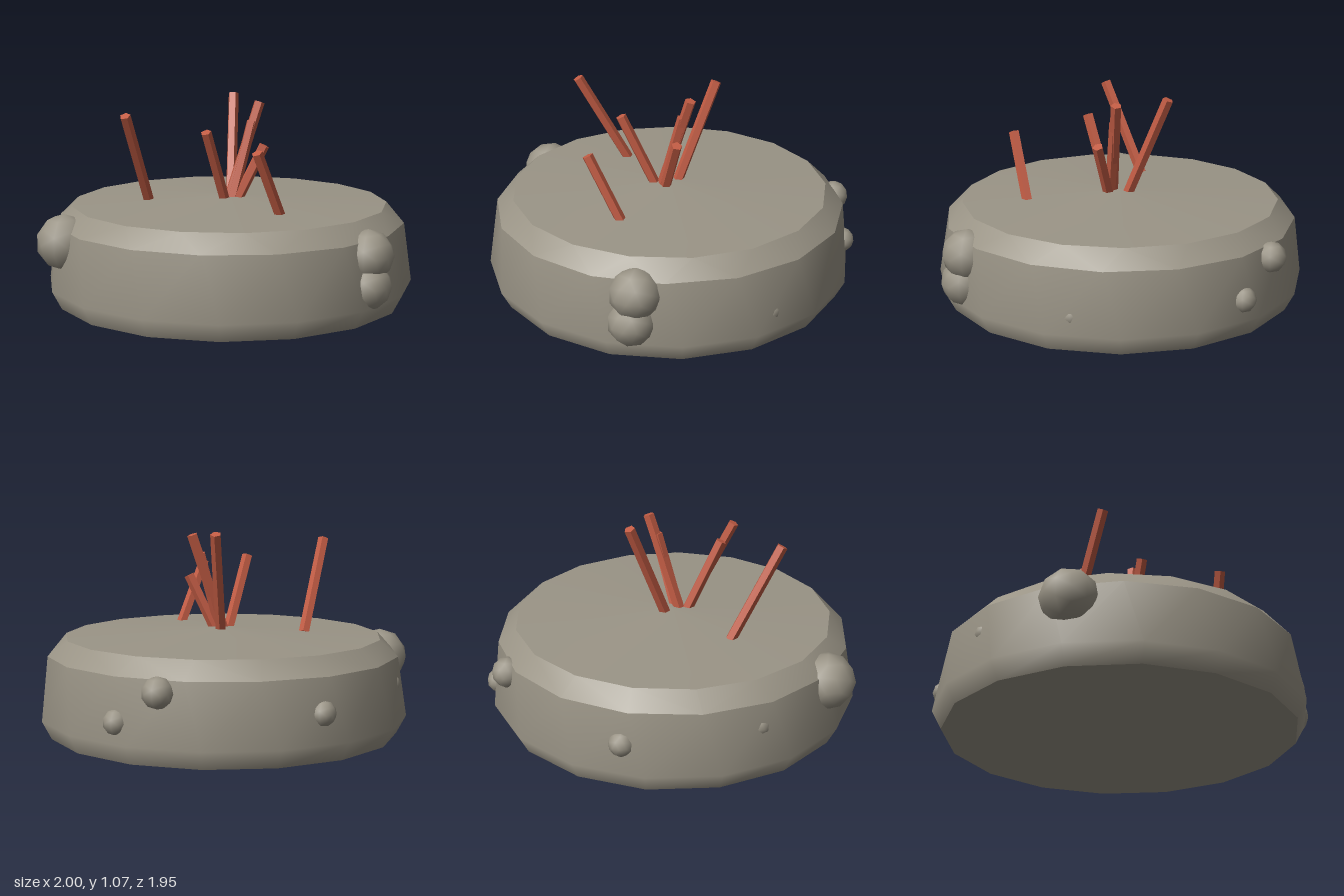
import * as THREE from 'three';

const CX = -0.025, CZ = -0.005;

// A ring of n points, turned by a fraction of a full turn from the back
const ring = (r, y, n = 16, twist = 0) => ({ r, y, n, twist });

// Skin a stack of rings, stitching neighbours even if their counts differ
function skin(rings) {
  const pos = [], index = [], start = [];
  for (const { r, y, n, twist } of rings) {
    start.push(pos.length / 3);
    for (let i = 0; i < n; i++) {
      const a = (twist + i / n) * Math.PI * 2;
      pos.push(CX + r * Math.sin(a), y, CZ - r * Math.cos(a));
    }
  }
  for (let k = 0; k + 1 < rings.length; k++) {
    const A = rings[k], B = rings[k + 1];
    const a = (i) => start[k] + (i % A.n), b = (j) => start[k + 1] + (j % B.n);
    let i = 0, j = 0;
    while (i < A.n || j < B.n) {
      const stepA = j >= B.n || (i < A.n && A.twist + (i + 1) / A.n <= B.twist + (j + 1) / B.n);
      if (stepA) { index.push(a(i), b(j), a(i + 1)); i++; }
      else { index.push(a(i), b(j), b(j + 1)); j++; }
    }
  }
  const geo = new THREE.BufferGeometry();
  geo.setAttribute('position', new THREE.Float32BufferAttribute(pos, 3));
  geo.setIndex(index);
  geo.computeVertexNormals();
  return geo;
}

// Faceted ball with smooth normals
function boulderGeometry() {
  const geo = new THREE.IcosahedronGeometry(1, 1);
  geo.setAttribute('normal', geo.attributes.position.clone());
  return geo;
}

export function createModel() {
  const group = new THREE.Group();
  const stone = new THREE.MeshStandardMaterial({ color: 0x9a9486 });
  stone.name = 'stone';
  const stickRed = new THREE.MeshStandardMaterial({ color: 0xc25c44, flatShading: true });
  stickRed.name = 'stickRed';

  const add = (name, geo, mat, parent = group) => {
    const mesh = new THREE.Mesh(geo, mat);
    mesh.name = name;
    parent.add(mesh);
    return mesh;
  };

  // Stone drum: each band is smooth, with sharp edges between bands
  const foot = ring(0.92, 0), shoulder = ring(0.925, 0.42, 16, 0.015), rim = ring(0.835, 0.51, 17);
  add('drumBottom', skin([ring(0, 0), foot]), stone);
  add('drumSide', skin([foot, ring(0.97, 0.095), shoulder]), stone);
  add('drumBevel', skin([shoulder, rim]), stone);
  add('drumTop', skin([rim, ring(0, 0.55, 17)]), stone);

  // Boulders bulging out of the side: x, y, z, radius
  const boulders = new THREE.Group();
  boulders.name = 'boulders';
  group.add(boulders);
  const ball = boulderGeometry();
  [
    [-0.36, 0.355, 0.83, 0.147],
    [0.86, 0.345, -0.13, 0.132],
    [0.875, 0.195, -0.115, 0.122],
    [-0.935, 0.245, -0.125, 0.066],
    [-0.51, 0.36, -0.79, 0.08],
    [-0.31, 0.2, -0.89, 0.066],
    [-0.735, 0.29, 0.52, 0.06],
    [0.52, 0.18, -0.71, 0.06],
  ].forEach(([x, y, z, r]) => {
    const mesh = add('boulder', ball, stone, boulders);
    mesh.position.set(x, y, z);
    mesh.scale.setScalar(r);
  });

  // Leaning sticks: base point, then tip
  const sticks = new THREE.Group();
  sticks.name = 'sticks';
  group.add(sticks);
  const up = new THREE.Vector3(0, 1, 0);
  [
    [-0.055, 0.53, -0.04, -0.21, 1.06, -0.2],
    [-0.295, 0.52, 0.33, -0.18, 1.0, 0.57],
    [0.0, 0.52, 0.03, 0.055, 1.04, -0.145],
    [0.01, 0.52, 0.06, 0.06, 0.91, 0.235],
    [0.035, 0.52, 0.0, 0.14, 0.82, -0.1],
    [0.46, 0.51, 0.09, 0.47, 0.85, 0.26],
    [0.02, 0.52, 0.02, 0.045, 0.94, -0.1],
  ].forEach((p) => {
    const base = new THREE.Vector3(...p.slice(0, 3)), tip = new THREE.Vector3(...p.slice(3));
    const dir = tip.clone().sub(base);
    const mesh = add('stick', new THREE.CylinderGeometry(0.029, 0.029, dir.length(), 5), stickRed, sticks);
    mesh.position.copy(base).add(tip).multiplyScalar(0.5);
    mesh.quaternion.setFromUnitVectors(up, dir.normalize());
  });

  return group;
}
